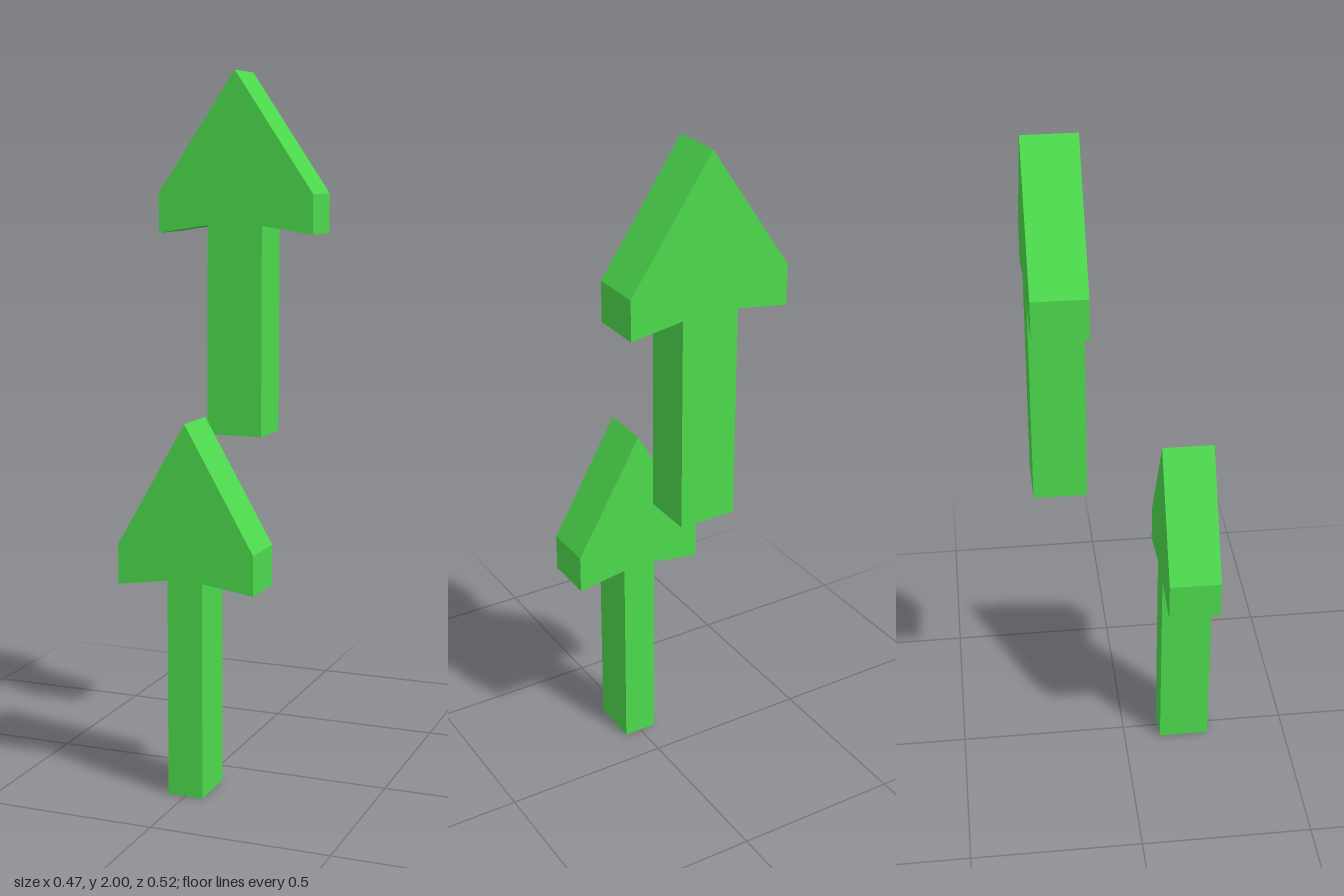
import * as THREE from 'three';

const material = new THREE.MeshStandardMaterial({ color: 0x4ddb4d, flatShading: true });
const DEPTH = 0.15;

// Upright arrow: mirrored outline from the right half, extruded along z
function makeArrow(name, half, zBack) {
  const left = half.slice(1).reverse().map(([x, y]) => [-x, y]);
  const points = [...half, ...left].map(([x, y]) => new THREE.Vector2(x, y));
  const geometry = new THREE.ExtrudeGeometry(new THREE.Shape(points), {
    depth: DEPTH, bevelEnabled: false,
  });
  const mesh = new THREE.Mesh(geometry, material);
  mesh.name = name;
  mesh.position.z = zBack;
  return mesh;
}

export function createModel() {
  const group = new THREE.Group();
  group.name = 'arrows';

  // Tip, shoulder, barb, shaft top, shaft bottom
  group.add(makeArrow('upperArrow',
    [[0, 2], [0.235, 1.655], [0.235, 1.542], [0.083, 1.565], [0.083, 0.96]], -0.261));
  group.add(makeArrow('lowerArrow',
    [[0, 1.046], [0.199, 0.7], [0.199, 0.588], [0.051, 0.61], [0.051, 0]], 0.111));

  return group;
}
